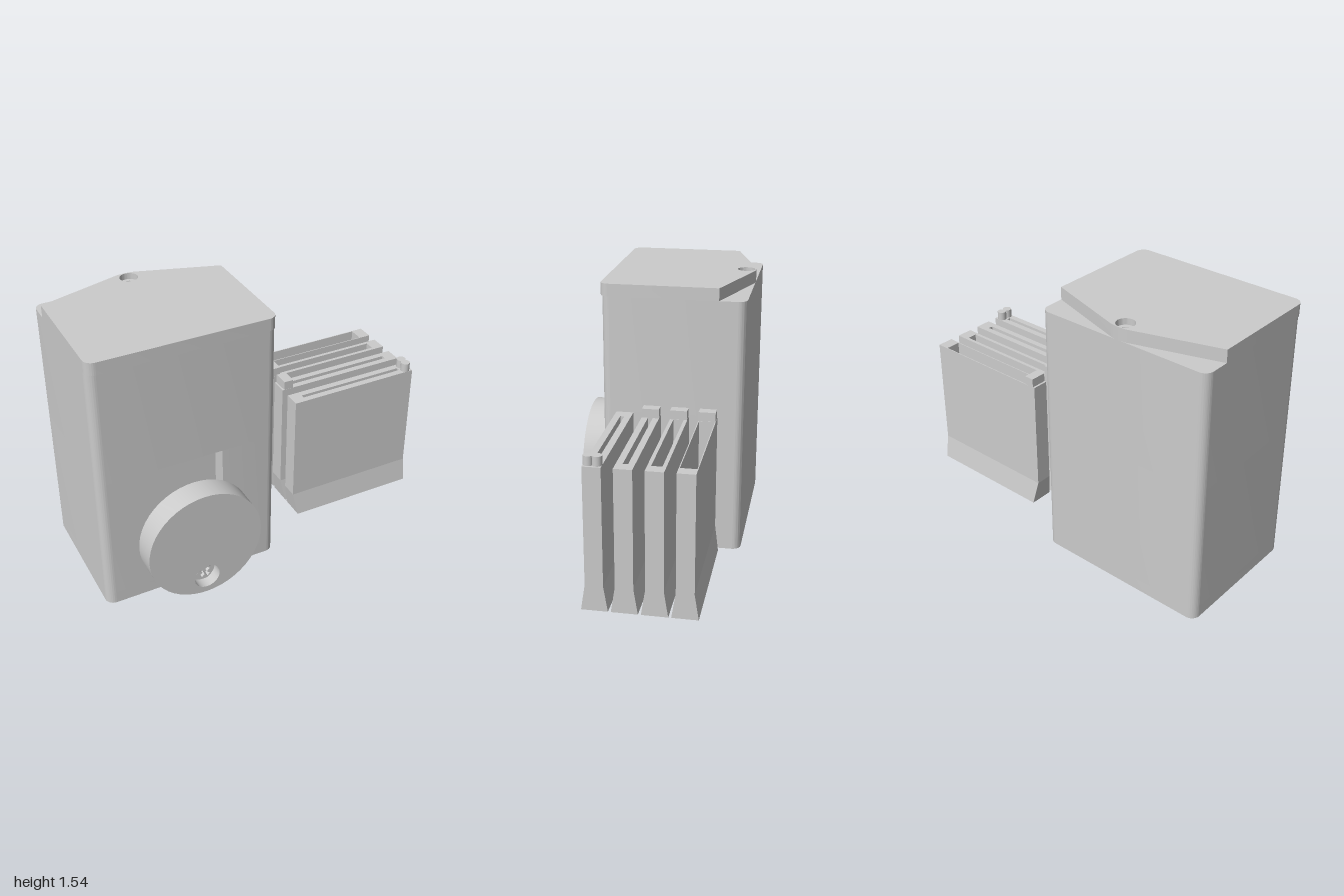
import * as THREE from 'three';
import { toCreasedNormals } from 'three/addons/utils/BufferGeometryUtils.js';

const material = new THREE.MeshStandardMaterial({ color: 0xcccccc });

function part(name, geometry, parent) {
  const mesh = new THREE.Mesh(geometry, material);
  mesh.name = name;
  parent.add(mesh);
  return mesh;
}

function extrude(shape, depth) {
  const g = new THREE.ExtrudeGeometry(shape, { depth, bevelEnabled: false, curveSegments: 24 });
  return toCreasedNormals(g, 0.6);
}

// Plan outline (drawn as x, -z) raised from y0 to y1
function slab(shape, y0, y1) {
  return extrude(shape, y1 - y0).rotateX(-Math.PI / 2).translate(0, y0, 0);
}

function box(x0, x1, y0, y1, z0, z1) {
  return new THREE.BoxGeometry(x1 - x0, y1 - y0, z1 - z0)
    .translate((x0 + x1) / 2, (y0 + y1) / 2, (z0 + z1) / 2);
}

function hole(x, y, r) {
  return new THREE.Path().absarc(x, y, r, 0, Math.PI * 2, true);
}

function rod(x, y, r, z0, z1) {
  return new THREE.CylinderGeometry(r, r, z1 - z0, 32)
    .rotateX(Math.PI / 2).translate(x, y, (z0 + z1) / 2);
}

const L = -1, R = 0.025, FRONT = 0.315, BACK = -0.485, CORNER = 0.05, MID = -0.48;

// Rounded body plan, optionally with the front window notched in
function bodyPlan(notch) {
  const s = new THREE.Shape(), c = CORNER, f = -FRONT, b = -BACK;
  s.moveTo(L + c, f);
  if (notch) {
    s.lineTo(-0.67, f); s.lineTo(-0.67, f + 0.09);
    s.lineTo(-0.295, f + 0.09); s.lineTo(-0.295, f);
  }
  s.lineTo(R - c, f);
  s.absarc(R - c, f + c, c, -Math.PI / 2, 0);
  s.lineTo(R, b - c);
  s.absarc(R - c, b - c, c, 0, Math.PI / 2);
  s.lineTo(L + c, b);
  s.absarc(L + c, b - c, c, Math.PI / 2, Math.PI);
  s.lineTo(L, f + c);
  s.absarc(L + c, f + c, c, Math.PI, Math.PI * 1.5);
  return s;
}

// Lid plan with a pointed back edge and a screw hole
function lidPlan() {
  const s = new THREE.Shape(), c = CORNER, f = -0.324;
  s.moveTo(L + c, f);
  s.lineTo(R - c, f);
  s.absarc(R - c, f + c, c, -Math.PI / 2, 0);
  s.lineTo(R, 0.335);
  s.lineTo(-0.43, 0.48);
  s.quadraticCurveTo(MID, 0.49, -0.53, 0.48);
  s.lineTo(L, 0.335);
  s.lineTo(L, f + c);
  s.absarc(L + c, f + c, c, Math.PI, Math.PI * 1.5);
  s.holes.push(hole(MID, 0.43, 0.05));
  return s;
}

function buildHousing() {
  const g = new THREE.Group();
  g.name = 'housing';
  // Base plate with four corner screw holes
  const base = bodyPlan(false);
  for (const x of [L + 0.05, R - 0.05])
    for (const z of [FRONT - 0.05, BACK + 0.05]) base.holes.push(hole(x, -z, 0.025));
  part('base', slab(base, 0, 0.07), g);
  part('windowBody', slab(bodyPlan(true), 0.07, 0.81), g);
  part('upperBody', slab(bodyPlan(false), 0.81, 1.47), g);
  part('lid', slab(lidPlan(), 1.47, 1.54), g);
  // Sunken lid screw
  const ring = new THREE.Shape().absarc(MID, 0.43, 0.05, 0, Math.PI * 2);
  ring.holes.push(hole(MID, 0.43, 0.028));
  part('lidScrewSeat', slab(ring, 1.47, 1.505), g);
  return g;
}

function buildWheel() {
  const g = new THREE.Group();
  g.name = 'wheel';
  const y = 0.135;
  const disc = new THREE.Shape().absarc(MID, 0.355, 0.33, 0, Math.PI * 2);
  disc.holes.push(hole(MID, y, 0.075));
  part('disc', extrude(disc, 0.14).translate(0, 0, 0.345), g);
  // Off-centre pivot with a cross-slotted screw
  part('pivot', rod(MID, y, 0.0752, 0.22, 0.42), g);
  const head = new THREE.Shape().absarc(MID, y, 0.045, 0, Math.PI * 2);
  const cross = new THREE.Path(), a = 0.01, b = 0.034;
  const corners = [[a, b], [a, a], [b, a], [b, -a], [a, -a], [a, -b],
    [-a, -b], [-a, -a], [-b, -a], [-b, a], [-a, a], [-a, b]];
  const turn = Math.SQRT1_2;
  cross.setFromPoints(corners.map(([u, v]) =>
    new THREE.Vector2(MID + (u - v) * turn, y + (u + v) * turn)));
  cross.closePath();
  head.holes.push(cross);
  part('screwHead', extrude(head, 0.03).translate(0, 0, 0.42), g);
  for (const s of [-1, 1]) part('stopPin', rod(MID + s * 0.12, 0.235, 0.037, 0.22, 0.35), g);
  return g;
}

// Flat holder with a round-bottomed slot and a flared foot
function buildHolder(z, slot, tabOnRight) {
  const g = new THREE.Group();
  g.name = 'holder';
  const x0 = 0.22, x1 = 0.997, y0 = 0.24, y1 = 0.88, half = 0.047;
  for (const s of [-1, 1]) {
    const zs = [s * slot / 2, s * half].sort((p, q) => p - q);
    part('sideWall', box(x0, x1, y0, y1, zs[0], zs[1]), g);
  }
  const u = new THREE.Shape();
  u.moveTo(x0, y0);
  u.lineTo(x1, y0);
  u.lineTo(x1, y1);
  u.lineTo(0.93, y1);
  u.lineTo(0.93, 0.57);
  u.absarc(0.61, 0.57, 0.32, 0, Math.PI, true);
  u.lineTo(0.29, y1);
  u.lineTo(x0, y1);
  part('slotFrame', extrude(u, slot).translate(0, 0, -slot / 2), g);
  // Foot widens downwards and tucks in at one end
  const foot = box(x0, x1, 0.1, y0, -half, half).toNonIndexed();
  const p = foot.attributes.position;
  for (let i = 0; i < p.count; i++) {
    if (p.getY(i) > 0.15) continue;
    p.setZ(i, Math.sign(p.getZ(i)) * 0.069);
    if (p.getX(i) < 0.5) p.setX(i, 0.245);
  }
  foot.computeVertexNormals();
  part('foot', foot, g);
  // Raised marker tab
  if (tabOnRight) {
    for (const s of [-1, 1]) {
      const tab = new THREE.CylinderGeometry(0.026, 0.026, 0.05, 24);
      part('markerTab', tab.translate(0.962, 0.905, s * 0.022), g);
    }
  } else {
    part('markerTab', box(0.232, 0.288, y1, 0.93, -0.046, 0.046), g);
  }
  g.position.z = z;
  return g;
}

export function createModel() {
  const model = new THREE.Group();
  model.name = 'dispenserWithHolders';
  model.add(buildHousing(), buildWheel());
  const slots = [0.022, 0.026, 0.055, 0.084];
  slots.forEach((slot, i) => model.add(buildHolder(0.144 - i * 0.153, slot, i === 0)));
  return model;
}
